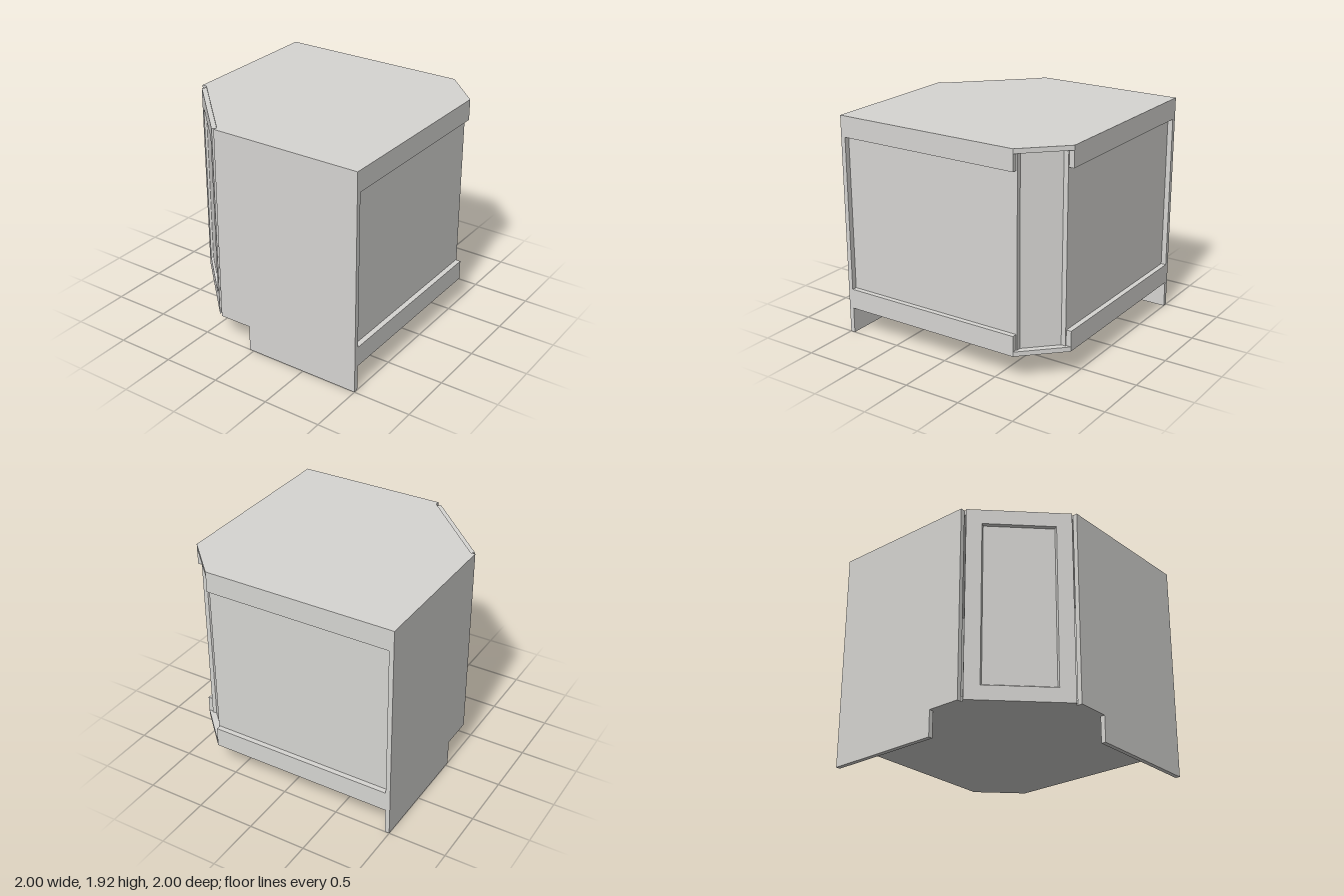
import * as THREE from 'three';

const paint = new THREE.MeshStandardMaterial({ color: 0xd6d5d2 });
paint.name = 'pale grey paint';

const H = 1.92, BASE = 0.225, T = 0.04;

// flat shape from [x, y] points
const outline = (pts) => new THREE.Shape(pts.map(([x, y]) => new THREE.Vector2(x, y)));

// mirror a plan across the cabinet's diagonal
const mirrorPlan = (plan) => plan.map(([x, z]) => [-z, -x]);

// vertical prism over a plan of [x, z] points
function slab(name, plan, y0, y1) {
  const g = new THREE.ExtrudeGeometry(outline(plan.map(([x, z]) => [x, -z])), { depth: y1 - y0, bevelEnabled: false });
  g.rotateX(-Math.PI / 2).translate(0, y0, 0);
  const m = new THREE.Mesh(g, paint);
  m.name = name;
  return m;
}

const rect = (x0, x1, z0, z1) => [[x0, z0], [x1, z0], [x1, z1], [x0, z1]];

// nested rectangles [x0, x1, y0, y1, z] joined into one closed surface
function ringSolid(rings) {
  const loops = rings.map(([x0, x1, y0, y1, z]) => [[x0, y0, z], [x1, y0, z], [x1, y1, z], [x0, y1, z]]);
  const pos = [];
  const quad = (a, b, c, d) => pos.push(...a, ...b, ...c, ...a, ...c, ...d);
  for (let i = 0; i < loops.length - 1; i++) {
    const p = loops[i], q = loops[i + 1];
    for (let k = 0; k < 4; k++) quad(p[k], p[(k + 1) % 4], q[(k + 1) % 4], q[k]);
  }
  quad(...[...loops[0]].reverse());
  quad(...loops[loops.length - 1]);
  const g = new THREE.BufferGeometry();
  g.setAttribute('position', new THREE.Float32BufferAttribute(pos, 3));
  g.computeVertexNormals();
  return g;
}

export function createModel() {
  const model = new THREE.Group();
  model.name = 'cornerCabinet';

  // top and bottom boards
  const board = [[-0.96, -1], [0.67, -1], [1, -0.67], [1, 0.96], [-0.33, 0.96], [-0.96, 0.33]];
  model.add(slab('topBoard', board, H - T, H), slab('bottomBoard', board, BASE, BASE + T));

  // end panels with a toe notch, running down to the floor
  const profile = [[-0.33, BASE], [-0.04, BASE], [-0.04, 0], [1, 0], [1, H], [-0.33, H]];
  const endPanel = (name, sign) => {
    const g = new THREE.ExtrudeGeometry(outline(profile.map(([x, y]) => [sign * x, y])), { depth: T, bevelEnabled: false });
    g.translate(0, 0, 0.96);
    if (sign < 0) g.rotateY(-Math.PI / 2);
    const m = new THREE.Mesh(g, paint);
    m.name = name;
    model.add(m);
  };
  endPanel('frontEndPanel', 1);
  endPanel('sideEndPanel', -1);

  // recessed wall panels and the rails above and below them
  const wall = rect(0.915, 0.955, -0.68, 0.96);
  const rail = rect(0.955, 1, -0.67, 0.96);
  for (const [side, map] of [['side', (p) => p], ['back', mirrorPlan]]) {
    model.add(
      slab(side + 'Wall', map(wall), BASE + T, H - T),
      slab(side + 'TopRail', map(rail), 1.74, H - T),
      slab(side + 'BottomRail', map(rail), BASE + T, 0.4)
    );
  }

  // narrow wall across the rear corner
  model.add(slab('cornerWall', [[0.915, -0.68], [0.915, -0.64], [0.64, -0.915], [0.68, -0.915]], BASE + T, H - T));

  // diagonal door with a bevelled recessed panel
  const w = 0.433, o = 0.304, b = 0.012, y0 = BASE, y1 = 1.91;
  const door = new THREE.Mesh(ringSolid([
    [-w, w, y0, y1, 0.911],
    [-w, w, y0, y1, 0.952],
    [-o, o, 0.35, 1.78, 0.952],
    [-o + b, o - b, 0.35 + b, 1.78 - b, 0.932],
  ]), paint);
  door.name = 'door';
  door.rotation.y = -Math.PI / 4;
  model.add(door);

  return model;
}
